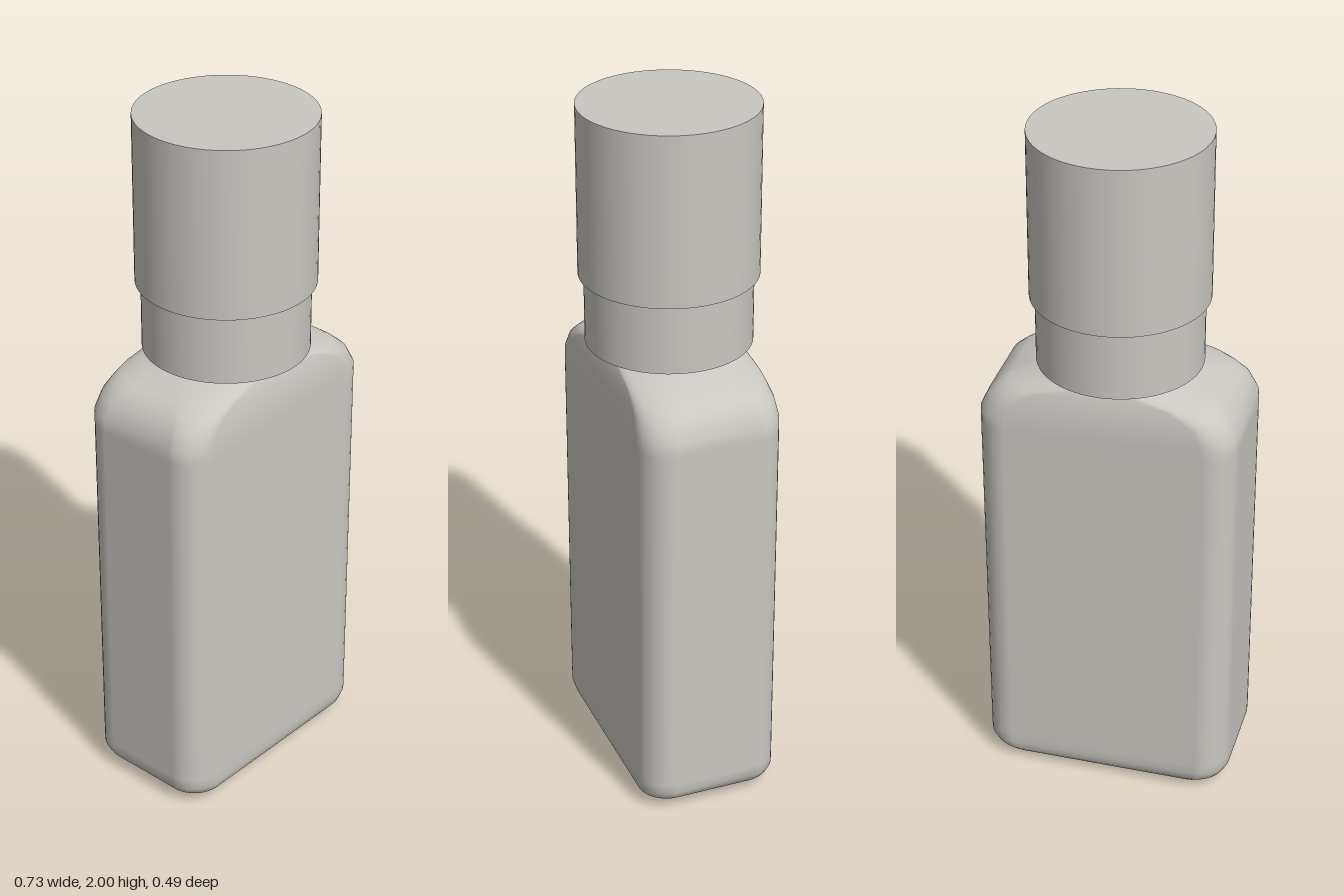
import * as THREE from 'three';

// Rounded-rectangle outline at one height, as [x, y, z] points
function section([y, hx, hz, r], steps = 8) {
  const pts = [];
  for (let q = 0; q < 4; q++) {
    const sx = q === 0 || q === 3 ? 1 : -1;
    const sz = q < 2 ? 1 : -1;
    for (let i = 0; i <= steps; i++) {
      const a = (q + i / steps) * Math.PI / 2;
      pts.push([sx * (hx - r) + r * Math.cos(a), y, sz * (hz - r) + r * Math.sin(a)]);
    }
  }
  return pts;
}

// Smooth skin through a stack of sections
function loft(rows) {
  const rings = rows.map(row => section(row));
  const n = rings[0].length;
  const index = [];
  for (let k = 0; k < rings.length - 1; k++) {
    for (let i = 0; i < n; i++) {
      const a = k * n + i, b = k * n + (i + 1) % n;
      index.push(a, a + n, b, b, a + n, b + n);
    }
  }
  const geo = new THREE.BufferGeometry();
  geo.setAttribute('position', new THREE.Float32BufferAttribute(rings.flat(2), 3));
  geo.setIndex(index);
  geo.computeVertexNormals();
  return geo;
}

// Lathe with sharp edges: each profile segment gets its own surface
function turned(name, profile, material) {
  const group = new THREE.Group();
  group.name = name;
  for (let i = 0; i < profile.length - 1; i++) {
    const pts = [profile[i], profile[i + 1]].map(p => new THREE.Vector2(...p));
    const wall = new THREE.Mesh(new THREE.LatheGeometry(pts, 64), material);
    wall.name = name + 'Surface';
    group.add(wall);
  }
  return group;
}

export function createModel() {
  const model = new THREE.Group();
  model.name = 'bottle';
  const grey = new THREE.MeshStandardMaterial({ color: 0xc9c7c1 });
  grey.name = 'warm grey';

  // Flask body: height, half width, half depth, corner radius
  const body = new THREE.Mesh(loft([
    [0.0, 0.001, 0.001, 0.0005],
    [0.0, 0.24, 0.13, 0.06],
    [0.003, 0.27, 0.145, 0.07],
    [0.02, 0.33, 0.185, 0.08],
    [0.035, 0.349, 0.197, 0.085],
    [0.06, 0.362, 0.203, 0.085],
    [0.09, 0.363, 0.203, 0.085],
    [1.15, 0.363, 0.203, 0.085],
    [1.19, 0.362, 0.203, 0.085],
    [1.235, 0.341, 0.198, 0.09],
    [1.26, 0.315, 0.193, 0.1],
    [1.28, 0.288, 0.189, 0.115],
    [1.3, 0.23, 0.183, 0.145],
    [1.325, 0.165, 0.172, 0.164],
    [1.335, 0.15, 0.15, 0.149],
  ]), grey);
  body.name = 'body';
  model.add(body);

  // Neck hidden inside the collar
  const neck = new THREE.Mesh(new THREE.CylinderGeometry(0.15, 0.15, 0.2, 48, 1, true), grey);
  neck.name = 'neck';
  neck.position.y = 1.42;
  model.add(neck);

  // Hollow collar and the wider cap on top of it
  model.add(turned('collar', [[0, 1.51], [0.215, 1.51], [0.215, 1.322], [0.231, 1.322], [0.231, 1.53]], grey));
  model.add(turned('cap', [[0.225, 1.52], [0.247, 1.52], [0.247, 2], [0, 2]], grey));
  return model;
}
